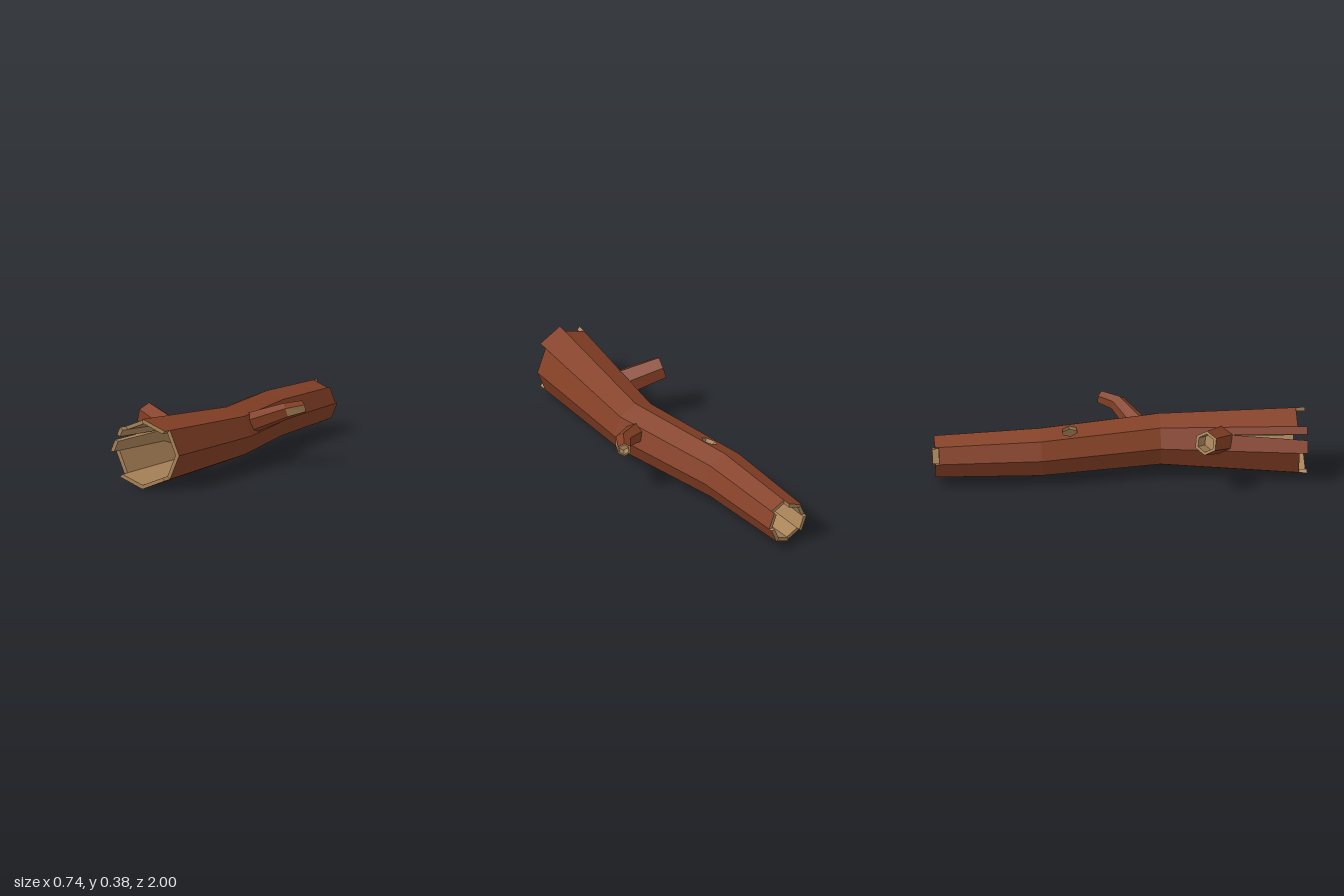
import * as THREE from 'three';

const bark = new THREE.MeshStandardMaterial({ color: 0x843f25 });
bark.name = 'bark';
const wood = new THREE.MeshStandardMaterial({ color: 0xa98358 });
wood.name = 'bare wood';

// Trunk cross-sections from front to back: centre and radius of each octagon
const SECTIONS = [
  { z: 1, x: -0.08, y: 0.192, r: 0.192 },
  { z: 0.22, x: 0.03, y: 0.181, r: 0.148 },
  { z: -0.43, x: -0.06, y: 0.163, r: 0.138 },
  { z: -1, x: -0.045, y: 0.15, r: 0.121 },
];
const SIDES = 8;
const WALL = 0.022;
// Ragged ends: where each plank of the trunk stops, starting at the left (+x)
const FRONT_ENDS = [0.95, 1, 0.95, 1, 0.955, 1, 1, 0.95];
const BACK_ENDS = [-0.98, -0.955, -1, -0.98, -1, -0.98, -0.99, -1];

// Bend a flat extruded plank (across, along, depth) into trunk side k
function bendPlank(geometry, k, a, b) {
  const pos = geometry.attributes.position;
  const corner = (i) => {
    const angle = (i / SIDES) * Math.PI * 2;
    return [Math.cos(angle), Math.sin(angle)];
  };
  const [c0, c1] = [corner(k), corner(k + 1)];
  for (let i = 0; i < pos.count; i++) {
    const t = pos.getX(i), z = pos.getY(i), depth = pos.getZ(i);
    const s = (z - a.z) / (b.z - a.z);
    const mix = (key) => a[key] + (b[key] - a[key]) * s;
    const r = mix('r') - WALL * (1 - depth);
    pos.setXYZ(i,
      mix('x') + r * (c0[0] + (c1[0] - c0[0]) * t),
      mix('y') + r * (c0[1] + (c1[1] - c0[1]) * t),
      z);
  }
  geometry.computeVertexNormals();
}

function plank(k, seg) {
  const a = SECTIONS[seg], b = SECTIONS[seg + 1];
  const front = seg === 0 ? FRONT_ENDS[k] : a.z;
  const back = seg === 2 ? BACK_ENDS[k] : b.z;
  const outline = [[0, back], [1, back], [1, front]];
  // Wedge-shaped crack running back from the front end
  if (seg === 0 && k === 3) outline.push([0.52, front], [0.32, 0.59], [0.3, front]);
  outline.push([0, front]);
  const shape = new THREE.Shape(outline.map(([t, z]) => new THREE.Vector2(t, z)));
  // Six-sided knot hole on top
  if (seg === 1 && k === 2) {
    const hole = [];
    for (let i = 0; i < 6; i++) {
      const angle = (-i * Math.PI) / 3;
      hole.push(new THREE.Vector2(0.47 + 0.37 * Math.cos(angle), -0.27 + 0.045 * Math.sin(angle)));
    }
    shape.holes.push(new THREE.Path(hole));
  }
  const geometry = new THREE.ExtrudeGeometry(shape, { depth: 1, bevelEnabled: false });
  // Inner face and edges are bare wood, the outer face is bark
  const [caps, edges] = geometry.groups.map((g) => ({ ...g }));
  geometry.clearGroups();
  geometry.addGroup(caps.start, caps.count / 2, 1);
  geometry.addGroup(caps.start + caps.count / 2, caps.count / 2, 0);
  geometry.addGroup(edges.start, edges.count, 1);
  bendPlank(geometry, k, a, b);
  const mesh = new THREE.Mesh(geometry, [bark, wood]);
  mesh.name = 'trunkPlank';
  return mesh;
}

// Six-sided branch stub lofted through rings, with a hollowed end
function branch(name, path, hollow, barePanel) {
  const points = path.map(([x, y, z]) => new THREE.Vector3(x, y, z));
  const last = points.length - 1;
  const dirs = points.map((p, i) =>
    points[Math.min(i + 1, last)].clone().sub(points[Math.max(i - 1, 0)]).normalize());
  const endDir = points[last].clone().sub(points[last - 1]).normalize();
  dirs[last] = endDir;
  const endR = path[last][3];
  const floor = points[last].clone().addScaledVector(endDir, -hollow);

  // Each row: centre, direction, radius, and whether the strip before it is bare
  const rows = [{ p: points[0], d: dirs[0], r: 0 }];
  points.forEach((p, i) => rows.push({ p, d: dirs[i], r: path[i][3], bare: i === 0 }));
  rows.push({ p: points[last], d: endDir, r: endR * 0.74, bare: true });
  rows.push({ p: floor, d: endDir, r: endR * 0.7, bare: true });
  rows.push({ p: floor, d: endDir, r: 0, bare: true });

  const rings = rows.map(({ p, d, r }) => {
    const v = new THREE.Vector3(0, 1, 0).addScaledVector(d, -d.y).normalize();
    const u = d.clone().cross(v);
    return Array.from({ length: 6 }, (_, i) => p.clone()
      .addScaledVector(v, r * Math.cos((i * Math.PI) / 3))
      .addScaledVector(u, r * Math.sin((i * Math.PI) / 3)));
  });

  const verts = { bark: [], wood: [] };
  for (let j = 1; j < rings.length; j++) {
    for (let i = 0; i < 6; i++) {
      const n = (i + 1) % 6;
      const A = rings[j - 1], B = rings[j];
      const bare = rows[j].bare || (j === last + 1 && i === barePanel);
      const out = bare ? verts.wood : verts.bark;
      if (rows[j - 1].r > 0) for (const q of [A[i], A[n], B[n]]) out.push(q.x, q.y, q.z);
      if (rows[j].r > 0) for (const q of [A[i], B[n], B[i]]) out.push(q.x, q.y, q.z);
    }
  }
  const group = new THREE.Group();
  group.name = name;
  for (const [part, material] of [['bark', bark], ['wood', wood]]) {
    const geometry = new THREE.BufferGeometry();
    geometry.setAttribute('position', new THREE.Float32BufferAttribute(verts[part], 3));
    geometry.computeVertexNormals();
    const mesh = new THREE.Mesh(geometry, material);
    mesh.name = name + (part === 'bark' ? 'Bark' : 'BareWood');
    group.add(mesh);
  }
  return group;
}

export function createModel() {
  const model = new THREE.Group();
  model.name = 'hollowLog';

  // Hollow trunk
  const trunk = new THREE.Group();
  trunk.name = 'trunk';
  for (let seg = 0; seg < 3; seg++) {
    for (let k = 0; k < SIDES; k++) trunk.add(plank(k, seg));
  }
  model.add(trunk);

  // Thick straight stub on the right, thin bent one on the left
  model.add(branch('rightBranch', [
    [-0.135, 0.232, 0.54, 0.076],
    [-0.337, 0.298, 0.443, 0.066],
  ], 0.1, -1));
  model.add(branch('leftBranch', [
    [0.1, 0.222, 0.122, 0.06],
    [0.28, 0.292, 0.018, 0.046],
    [0.34, 0.305, -0.068, 0.038],
  ], 0.05, 1));
  return model;
}
